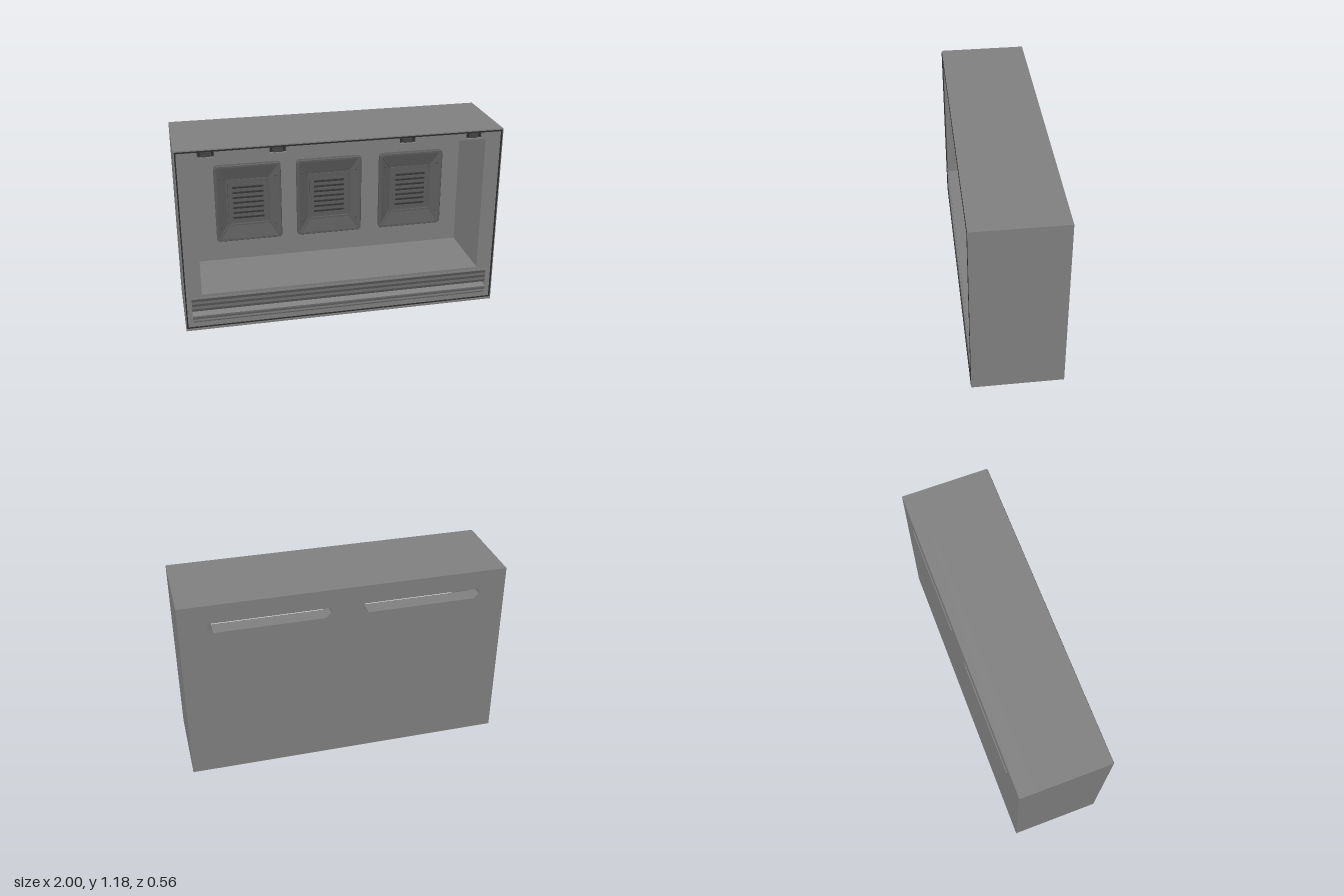
import * as THREE from 'three';

const W = 2, H = 1.185, BACK = -0.28, INNER = -0.18;
const paint = (color) => new THREE.MeshStandardMaterial({ color, flatShading: true });
const shell = paint(0x808080), panel = paint(0x5c5c5c), dark = paint(0x444444), black = paint(0x2c2c2c);

function add(parent, name, mat, geo, x = 0, y = 0, z = 0) {
  const m = new THREE.Mesh(geo, mat);
  m.name = name;
  m.position.set(x, y, z);
  parent.add(m);
  return m;
}

const box = (w, h, d) => new THREE.BoxGeometry(w, h, d);
const points = (list) => list.map(([x, y]) => new THREE.Vector2(x, y));
const rect = (x0, x1, y0, y1) => points([[x0, y0], [x1, y0], [x1, y1], [x0, y1]]);

// Flat plate with holes, running from z0 to z1
function plate(outline, holes, z0, z1) {
  const s = new THREE.Shape(outline);
  holes.forEach((h) => s.holes.push(new THREE.Path(h)));
  const g = new THREE.ExtrudeGeometry(s, { depth: z1 - z0, bevelEnabled: false });
  return g.translate(0, 0, z0);
}

// Skin through chamfered rectangles [width, height, z, chamfer], closed at the last
function loft(rings) {
  const pos = [];
  const loops = rings.map(([w, h, z, c]) => {
    const a = w / 2, b = h / 2;
    return [[a, -b + c], [a, b - c], [a - c, b], [-a + c, b],
      [-a, b - c], [-a, -b + c], [-a + c, -b], [a - c, -b]].map(([x, y]) => [x, y, z]);
  });
  for (let i = 0; i + 1 < loops.length; i++) {
    for (let j = 0; j < 8; j++) {
      const k = (j + 1) % 8, p = loops[i], q = loops[i + 1];
      pos.push(...p[j], ...p[k], ...q[k], ...p[j], ...q[k], ...q[j]);
    }
  }
  const end = loops[loops.length - 1];
  for (let j = 1; j < 7; j++) pos.push(...end[0], ...end[j], ...end[j + 1]);
  const g = new THREE.BufferGeometry();
  g.setAttribute('position', new THREE.Float32BufferAttribute(pos, 3));
  g.computeVertexNormals();
  return g;
}

// Dished vent panel with corner ribs, screws and louvres
function ventPanel() {
  const g = new THREE.Group();
  g.name = 'ventPanel';
  add(g, 'ventFrame', panel, loft([
    [0.43, 0.525, 0, 0.014], [0.43, 0.525, 0.026, 0.014], [0.424, 0.519, 0.03, 0.012],
    [0.4, 0.495, 0.03, 0.01], [0.285, 0.322, 0.01, 0.008], [0.285, 0.322, 0.016, 0.008],
    [0.265, 0.302, 0.016, 0.006], [0.26, 0.297, 0.008, 0.006],
  ]));
  for (const sx of [-1, 1]) {
    for (const sy of [-1, 1]) {
      const a = new THREE.Vector3(sx * 0.2, sy * 0.248, 0.03);
      const b = new THREE.Vector3(sx * 0.138, sy * 0.157, 0.012);
      const rib = add(g, 'cornerRib', panel, box(0.018, 0.008, a.distanceTo(b)));
      rib.position.copy(a).add(b).multiplyScalar(0.5);
      rib.lookAt(a);
      const screw = new THREE.CylinderGeometry(0.005, 0.005, 0.01, 8).rotateX(Math.PI / 2);
      add(g, 'screw', dark, screw, sx * 0.18, sy * 0.17, 0.02);
    }
  }
  add(g, 'louvreBed', panel, box(0.23, 0.25, 0.004), 0, 0, 0.009);
  for (let i = 0; i < 7; i++) {
    const slat = add(g, 'louvre', dark, box(0.2, 0.016, 0.006), 0, -0.105 + i * 0.035, 0.012);
    slat.rotation.x = 0.4;
  }
  return g;
}

export function createModel() {
  const root = new THREE.Group();
  root.name = 'displayCabinet';
  const outer = rect(-W / 2, W / 2, 0, H);
  const opening = rect(-0.89, 0.89, 0.245, 1.125);
  const clipX = [-0.815, -0.395, 0.395, 0.815];

  // Back wall with two long slots, bevelled at their lower corners
  const slots = [-0.467, 0.464].map((cx) => points([
    [-0.335, 1.002], [0.335, 1.002], [0.366, 1.032], [0.366, 1.058],
    [0.358, 1.066], [-0.358, 1.066], [-0.366, 1.058], [-0.366, 1.032],
  ].map(([x, y]) => [x + cx, y])));
  add(root, 'backWall', shell, plate(outer, slots, BACK, INNER));

  // Thick walls around the cavity, then the front face with its recesses
  add(root, 'casing', shell, plate(outer, [opening], INNER, 0.23));
  const grilleHole = rect(-0.955, 0.955, 0.088, 0.225);
  const pockets = clipX.map((x) => rect(x - 0.05, x + 0.05, 1.132, 1.17));
  add(root, 'frontFrame', shell, plate(outer, [opening, grilleHole, ...pockets], 0.23, 0.274));
  add(root, 'outerRim', shell, plate(outer, [rect(-0.994, 0.994, 0.012, 1.179)], 0.274, 0.278));
  add(root, 'innerRim', black, plate(rect(-0.994, 0.994, 0.018, 1.177),
    [rect(-0.986, 0.986, 0.024, 1.17)], 0.274, 0.281));

  // Clips in the pockets above the opening
  for (const x of clipX) {
    add(root, 'clipBed', dark, box(0.1, 0.038, 0.03), x, 1.151, 0.24);
    add(root, 'clip', dark, box(0.05, 0.03, 0.035), x, 1.151, 0.255);
    for (const s of [-1, 1]) {
      add(root, 'clipTab', black, box(0.012, 0.022, 0.025), x + s * 0.038, 1.151, 0.252);
    }
  }

  // Lower grille
  const grille = new THREE.Group();
  grille.name = 'lowerGrille';
  root.add(grille);
  add(grille, 'grilleBed', dark, box(1.91, 0.137, 0.006), 0, 0.1565, 0.232);
  [0.205, 0.172, 0.139].forEach((y) => {
    add(grille, 'grilleSlat', panel, box(1.91, 0.018, 0.024), 0, y, 0.256).rotation.x = 0.25;
  });
  add(grille, 'grilleSill', shell, box(1.91, 0.012, 0.044), 0, 0.098, 0.252).rotation.x = 0.3;
  add(grille, 'grilleTopTrim', shell, box(1.91, 0.008, 0.008), 0, 0.222, 0.275);
  add(grille, 'grilleLip', panel, box(1.91, 0.012, 0.008), 0, 0.084, 0.275);
  add(grille, 'grilleLowerTrim', panel, box(1.9, 0.006, 0.006), 0, 0.06, 0.275);

  // Three vent panels on the inside of the back wall
  for (const x of [-0.533, 0, 0.553]) {
    const vent = ventPanel();
    vent.position.set(x, 0.65, INNER);
    root.add(vent);
  }
  return root;
}
